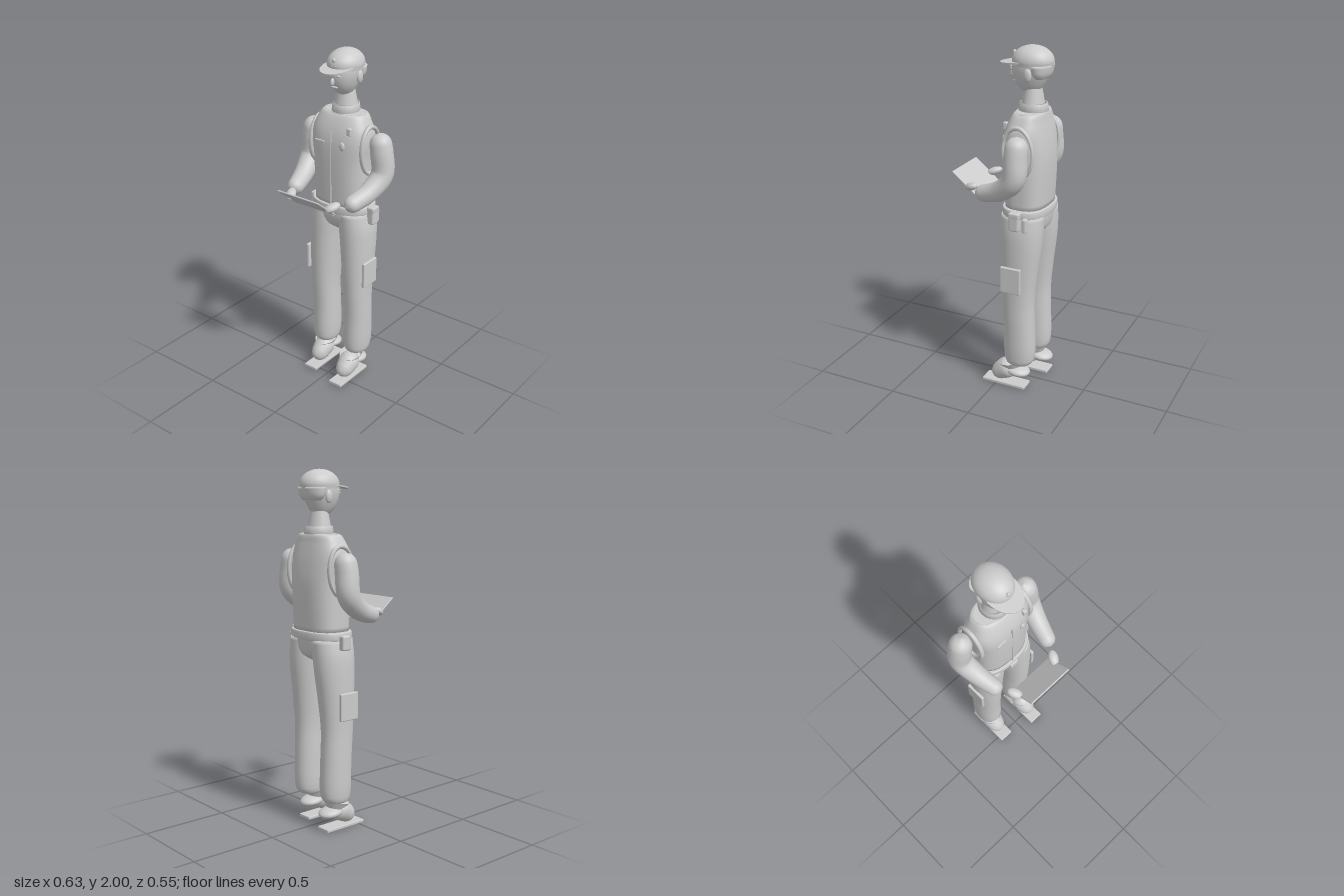
import * as THREE from 'three';
import { mergeVertices } from 'three/addons/utils/BufferGeometryUtils.js';
import { RoundedBoxGeometry } from 'three/addons/geometries/RoundedBoxGeometry.js';

const material = new THREE.MeshStandardMaterial({ color: 0xcccccc, side: THREE.DoubleSide });

function add(group, name, geometry, pos = [0, 0, 0], rot = [0, 0, 0], scale = [1, 1, 1]) {
  const m = new THREE.Mesh(geometry, material);
  m.name = name;
  m.position.set(...pos);
  m.rotation.set(...rot);
  m.scale.set(...scale);
  group.add(m);
  return m;
}

const ball = () => new THREE.SphereGeometry(1, 28, 18);
const box = (w, h, d, r = 0.006) => new RoundedBoxGeometry(w, h, d, 2, Math.min(r, w / 3, h / 3, d / 3));

// Closed body through level rings [y, centreX, halfWidth, frontZ, backZ]; power > 2 squares the section
function loft(rings, power = 2, n = 40) {
  const pos = [], index = [];
  const ringAt = (y, cx, rx, f, b) => {
    for (let j = 0; j < n; j++) {
      const a = (j / n) * Math.PI * 2, c = Math.cos(a), s = Math.sin(a);
      pos.push(cx + rx * Math.sign(c) * Math.abs(c) ** (2 / power), y,
        (f + b) / 2 + ((f - b) / 2) * Math.sign(s) * Math.abs(s) ** (2 / power));
    }
  };
  // smooth interpolation between the given rings
  const ya = new THREE.CatmullRomCurve3(rings.map(r => new THREE.Vector3(r[0], r[1], r[2])), false, 'centripetal');
  const yb = new THREE.CatmullRomCurve3(rings.map(r => new THREE.Vector3(r[0], r[3], r[4])), false, 'centripetal');
  const steps = (rings.length - 1) * 4;
  for (let i = 0; i <= steps; i++) {
    const p = ya.getPoint(i / steps), q = yb.getPoint(i / steps);
    ringAt(p.x, p.y, Math.max(p.z, 0.001), q.y, q.z);
  }
  for (let i = 0; i < steps; i++) for (let j = 0; j < n; j++) {
    const a = i * n + j, b = i * n + (j + 1) % n;
    index.push(a, a + n, b, b, a + n, b + n);
  }
  for (const [row, flip] of [[0, false], [steps, true]]) {
    const c = pos.length / 3, r = rings[flip ? rings.length - 1 : 0];
    pos.push(r[1], r[0], (r[3] + r[4]) / 2);
    for (let j = 0; j < n; j++) {
      const a = row * n + j, b = row * n + (j + 1) % n;
      flip ? index.push(c, b, a) : index.push(c, a, b);
    }
  }
  const g = new THREE.BufferGeometry();
  g.setAttribute('position', new THREE.Float32BufferAttribute(pos, 3));
  g.setIndex(index);
  g.computeVertexNormals();
  return g;
}

// Round-ended limb along points [x, y, z, radius]
function limb(points, rows = 56, sides = 24) {
  const path = new THREE.CatmullRomCurve3(points.map(p => new THREE.Vector3(p[0], p[1], p[2])));
  const radii = new THREE.CatmullRomCurve3(points.map((p, i) => new THREE.Vector3(p[3], i, 0)));
  const length = path.getLength();
  const g = new THREE.TubeGeometry(path, rows, 1, sides);
  const pos = g.attributes.position, v = new THREE.Vector3();
  for (let i = 0; i <= rows; i++) {
    const u = i / rows, c = path.getPointAt(u);
    let r = radii.getPoint(path.getUtoTmapping(u)).x;
    const d = Math.min(u, 1 - u) * length;
    if (d < r) r *= Math.sqrt(Math.max(1 - (1 - d / r) ** 2, 0.0001));
    for (let j = 0; j <= sides; j++) {
      const k = i * (sides + 1) + j;
      v.fromBufferAttribute(pos, k).sub(c).multiplyScalar(r).add(c);
      pos.setXYZ(k, v.x, v.y, v.z);
    }
  }
  g.deleteAttribute('uv');
  g.deleteAttribute('normal');
  const out = mergeVertices(g, 1e-5);
  out.computeVertexNormals();
  return out;
}

function buildHead(group) {
  const head = new THREE.Group();
  head.name = 'head';
  add(head, 'skull', loft([
    [1.752, 0, 0.03, -0.11, -0.18], [1.765, 0, 0.046, -0.09, -0.195], [1.80, 0, 0.068, -0.058, -0.22],
    [1.85, 0, 0.085, -0.038, -0.245], [1.90, 0, 0.09, -0.036, -0.258], [1.95, 0, 0.078, -0.06, -0.24]]));
  add(head, 'hair', loft([[1.835, 0, 0.07, -0.17, -0.243], [1.86, 0, 0.088, -0.15, -0.257],
    [1.905, 0, 0.095, -0.14, -0.265]]));
  add(head, 'nose', ball(), [0, 1.84, -0.036], [-0.25, 0, 0], [0.01, 0.022, 0.016]);
  add(head, 'mouth', ball(), [0, 1.806, -0.052], [0, 0, 0], [0.022, 0.007, 0.008]);
  for (const s of [-1, 1]) {
    add(head, 'eye', ball(), [s * 0.033, 1.872, -0.045], [0, 0, 0], [0.012, 0.007, 0.008]);
    add(head, 'eyebrow', box(0.034, 0.006, 0.01), [s * 0.034, 1.889, -0.044], [0, s * 0.25, s * -0.1]);
    add(head, 'ear', ball(), [s * 0.088, 1.855, -0.16], [0, 0, 0], [0.014, 0.036, 0.022]);
  }
  // cap
  add(head, 'capCrown', new THREE.SphereGeometry(1, 40, 16, 0, Math.PI * 2, 0, Math.PI / 2),
    [0, 1.918, -0.153], [0, 0, 0], [0.097, 0.082, 0.115]);
  add(head, 'capBand', new THREE.CylinderGeometry(1, 0.97, 0.024, 40), [0, 1.908, -0.153], [0, 0, 0], [0.096, 1, 0.115]);
  add(head, 'capVisor', new THREE.CylinderGeometry(1, 1, 0.008, 40), [0, 1.912, -0.093], [0.12, 0, 0], [0.09, 1, 0.126]);
  add(head, 'capBadge', ball(), [0, 1.953, -0.046], [0, 0, 0], [0.011, 0.014, 0.009]);
  group.add(head);
}

function buildTorso(group) {
  add(group, 'neck', new THREE.CylinderGeometry(0.05, 0.078, 0.14, 32), [0, 1.715, -0.156], [0, 0, 0], [1, 1, 0.9]);
  add(group, 'collar', new THREE.LatheGeometry([[0.066, 0], [0.078, 0], [0.073, 0.042], [0.06, 0.042], [0.066, 0]]
    .map(p => new THREE.Vector2(...p)), 32), [0, 1.655, -0.158], [0, 0, 0], [1, 1, 1.06]);
  add(group, 'vest', loft([
    [1.125, 0, 0.165, -0.028, -0.262], [1.25, 0, 0.168, -0.022, -0.268], [1.40, 0, 0.172, -0.018, -0.27],
    [1.50, 0, 0.182, -0.021, -0.26], [1.56, 0, 0.178, -0.032, -0.25], [1.61, 0, 0.158, -0.05, -0.24],
    [1.65, 0, 0.134, -0.072, -0.232], [1.656, 0, 0.115, -0.085, -0.222]], 2.7, 56));
  add(group, 'neckOpening', new THREE.TorusGeometry(1, 0.03, 6, 40), [0, 1.653, -0.152],
    [Math.PI / 2, 0, 0], [0.128, 0.076, 0.12]);
  add(group, 'zip', box(0.006, 0.44, 0.008), [0, 1.35, -0.02]);
  add(group, 'radio', box(0.026, 0.042, 0.024), [0.108, 1.58, -0.045]);
  add(group, 'badge', ball(), [0.075, 1.495, -0.022], [0, 0, 0], [0.017, 0.025, 0.01]);
  add(group, 'nameBar', box(0.062, 0.013, 0.01), [-0.076, 1.497, -0.022]);
  for (const s of [-1, 1]) {
    add(group, 'armhole', new THREE.TorusGeometry(1, 0.1, 8, 40), [s * 0.175, 1.46, -0.148],
      [0, Math.PI / 2, s * 0.06], [0.085, 0.135, 0.13]);
  }
}

function buildBelt(group) {
  add(group, 'belt', loft([[1.085, 0, 0.18, -0.018, -0.27], [1.088, 0, 0.186, -0.014, -0.275],
    [1.128, 0, 0.186, -0.014, -0.275], [1.132, 0, 0.18, -0.018, -0.27]], 2.5, 56));
  add(group, 'buckle', box(0.058, 0.045, 0.016), [0, 1.094, -0.01]);
  add(group, 'leftPouch', box(0.045, 0.1, 0.058, 0.01), [0.202, 1.078, -0.145]);
  add(group, 'pouchFlap', box(0.048, 0.03, 0.062, 0.008), [0.202, 1.118, -0.145]);
  add(group, 'torch', box(0.034, 0.08, 0.026, 0.01), [0.188, 1.06, -0.198]);
  add(group, 'rightPouch', box(0.04, 0.082, 0.058, 0.01), [-0.202, 1.078, -0.145]);
}

function buildLegs(group) {
  add(group, 'hips', loft([[0.96, 0, 0.02, -0.09, -0.2], [1.0, 0, 0.13, -0.045, -0.25],
    [1.05, 0, 0.18, -0.028, -0.262], [1.1, 0, 0.178, -0.026, -0.265]], 2.4));
  for (const s of [-1, 1]) {
    add(group, 'trouserLeg', loft([
      [0.152, s * 0.113, 0.035, -0.1, -0.17], [0.165, s * 0.113, 0.06, -0.065, -0.205], [0.2, s * 0.113, 0.072, -0.05, -0.227],
      [0.4, s * 0.115, 0.077, -0.046, -0.228], [0.57, s * 0.116, 0.077, -0.036, -0.224],
      [0.75, s * 0.113, 0.086, -0.028, -0.24], [0.9, s * 0.108, 0.094, -0.024, -0.258],
      [1.0, s * 0.102, 0.097, -0.022, -0.264], [1.09, s * 0.095, 0.088, -0.024, -0.264]], 2.15));
    add(group, 'thighPocket', box(0.02, 0.155, 0.122), [s * 0.204, 0.722, -0.12]);

    // the left foot stands a little ahead of the right
    const foot = new THREE.Group();
    foot.name = 'foot';
    foot.position.set(s * 0.113, 0, s > 0 ? 0 : -0.048);
    add(foot, 'sole', box(0.09, 0.019, 0.27, 0.005), [0, 0.013, -0.05]);
    add(foot, 'shoe', limb([[0, 0.135, -0.115, 0.052], [0, 0.105, -0.06, 0.062],
      [0, 0.07, -0.005, 0.052], [0, 0.05, 0.035, 0.04]], 32), [0, 0, 0]);
    add(foot, 'heel', ball(), [0, 0.105, -0.125], [-0.12, 0, 0], [0.062, 0.03, 0.075]);
    add(foot, 'shoeCuff', new THREE.CylinderGeometry(0.07, 0.05, 0.035, 24, 1, true), [0, 0.14, -0.085],
      [0.22, 0, 0], [0.95, 1, 1.15]);
    group.add(foot);
  }
}

function buildArms(group) {
  for (const s of [-1, 1]) {
    add(group, 'arm', limb([[s * 0.218, 1.565, -0.165, 0.058], [s * 0.238, 1.46, -0.165, 0.064],
      [s * 0.249, 1.335, -0.158, 0.063], [s * 0.228, 1.255, -0.07, 0.056], [s * 0.188, 1.2, 0.088, 0.044]]));
    add(group, 'hand', ball(), [s * 0.145, 1.217, 0.149], [0.35, s * -0.45, 0], [0.028, 0.022, 0.046]);
  }
  // slanted board held in both hands
  const tilt = -Math.atan2(0.121, 0.15);
  add(group, 'clipboard', box(0.28, 0.009, 0.195, 0.004), [0, 1.222, 0.194], [tilt, 0, 0]);
}

export function createModel() {
  const model = new THREE.Group();
  model.name = 'officer';
  for (const build of [buildHead, buildTorso, buildBelt, buildLegs, buildArms]) build(model);
  return model;
}
